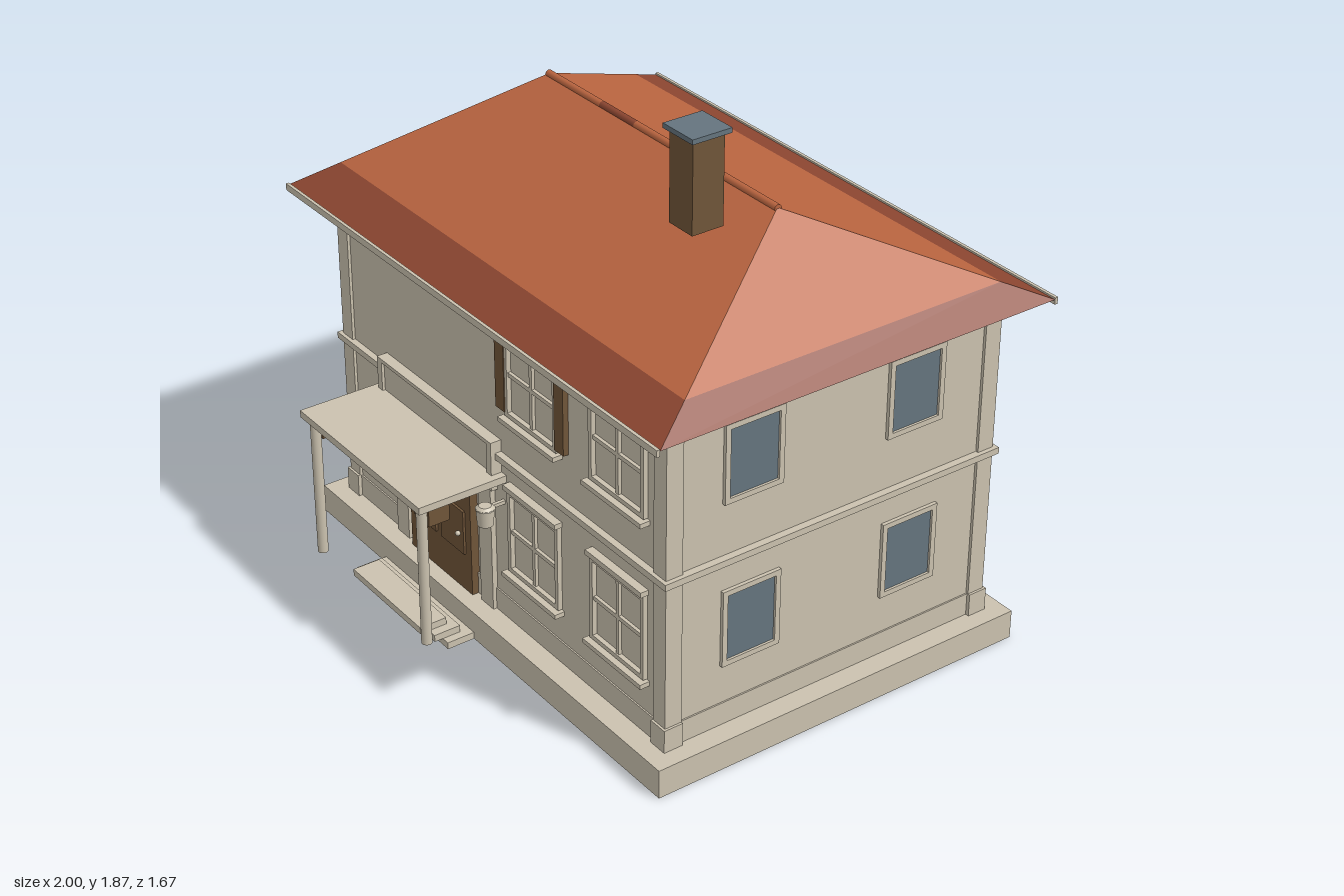
import * as THREE from 'three';

const mat = (name, color, side = THREE.FrontSide) => {
  const m = new THREE.MeshStandardMaterial({ color, side });
  m.name = name;
  return m;
};

export function createModel() {
  const house = new THREE.Group();
  house.name = 'house';
  const stucco = mat('stucco', 0xcbc2af);
  const wood = mat('brown wood', 0x705539);
  const slate = mat('slate blue', 0x65747e);
  const tile = mat('orange roof tile', 0xba6540, THREE.DoubleSide);
  const darkTile = mat('dark roof tile', 0x8c4631, THREE.DoubleSide);

  const add = (name, geo, material, parent = house) => {
    const mesh = new THREE.Mesh(geo, material);
    mesh.name = name;
    parent.add(mesh);
    return mesh;
  };
  // box given by its extents on each axis
  const box = (name, m, x0, x1, y0, y1, z0, z1, parent = house) => {
    const g = new THREE.BoxGeometry(x1 - x0, y1 - y0, z1 - z0);
    g.translate((x0 + x1) / 2, (y0 + y1) / 2, (z0 + z1) / 2);
    return add(name, g, m, parent);
  };
  const group = (name) => {
    const g = new THREE.Group();
    g.name = name;
    house.add(g);
    return g;
  };
  const ZC = -0.095; // centre line of the main building

  // Main body, centred on ZC: half width, half depth, bottom, top
  const ring = (name, hx, hz, y0, y1) => box(name, stucco, -hx, hx, y0, y1, ZC - hz, ZC + hz);
  ring('foundation', 0.957, 0.692, 0, 0.1);
  ring('walls', 0.88, 0.612, 0.1, 1.21);
  ring('skirting', 0.885, 0.617, 0.1, 0.178);
  ring('beltCourse', 0.905, 0.635, 0.68, 0.702);
  ring('cornice', 0.935, 0.665, 1.2, 1.229);
  for (const sx of [-1, 1]) for (const sz of [-1, 1]) {
    const post = (name, o, y0, y1) => {
      const x = sx * (0.86 + o / 2), z = ZC + sz * (0.592 + o / 2);
      const h = 0.03 + o / 2;
      box(name, stucco, x - h, x + h, y0, y1, z - h, z + h);
    };
    post('cornerPost', 0, 0.1, 1.2);
    post('cornerPlinth', 0.008, 0.1, 0.18);
  }

  // Hipped roof built from frustum rings between eaves and ridge
  const rect = (t) => {
    const hx = 1 - 0.42 * t, hz = 0.727 * (1 - t), y = 1.23 + 0.35 * t;
    return [[-hx, y, ZC + hz], [hx, y, ZC + hz], [hx, y, ZC - hz], [-hx, y, ZC - hz]];
  };
  const slopes = (t0, t1) => {
    const a = rect(t0), b = rect(t1), p = [];
    for (let i = 0; i < 4; i++) {
      const j = (i + 1) % 4;
      p.push(...a[i], ...a[j], ...b[j]);
      if (t1 < 1 || i % 2 === 0) p.push(...a[i], ...b[j], ...b[i]);
    }
    return p;
  };
  const faces = (p) => {
    const g = new THREE.BufferGeometry();
    g.setAttribute('position', new THREE.Float32BufferAttribute(p, 3));
    g.computeVertexNormals();
    return g;
  };
  add('roofSlopes', faces(slopes(0.2, 1)), tile);
  add('roofEaveBand', faces(slopes(0, 0.2)), darkTile);
  const [a, b, c, d] = rect(0);
  add('roofUnderside', faces([...a, ...c, ...b, ...a, ...d, ...c]), darkTile);
  const ridge = (name, m, x0, x1) => {
    const g = new THREE.CylinderGeometry(0.013, 0.013, x1 - x0, 12);
    g.rotateZ(Math.PI / 2).translate((x0 + x1) / 2, 1.578, ZC);
    add(name, g, m);
  };
  ridge('ridgeCapLeft', tile, -0.583, -0.29);
  ridge('ridgeCapDark', darkTile, -0.29, -0.11);
  ridge('ridgeCapRight', tile, -0.11, 0.583);
  box('frontFascia', stucco, -1, 1, 1.213, 1.236, 0.632, 0.643);
  box('backFascia', stucco, -1, 1, 1.213, 1.236, -0.833, -0.822);

  // Chimney
  box('chimney', wood, 0.43, 0.54, 1.553, 1.85, 0.07, 0.182);
  box('chimneyCap', slate, 0.416, 0.556, 1.85, 1.866, 0.056, 0.196);

  // Front windows with sill, lintel and glazing bars
  const F = 0.515;
  for (const x of [0.215, 0.653]) for (const y of [0.435, 0.997]) {
    const w = group('frontWindow');
    for (const s of [-1, 1]) {
      box('jamb', stucco, x + s * 0.128 - 0.008, x + s * 0.128 + 0.008, y - 0.135, y + 0.16, F, 0.533, w);
    }
    box('head', stucco, x - 0.136, x + 0.136, y + 0.142, y + 0.16, F, 0.533, w);
    box('lintel', stucco, x - 0.14, x + 0.14, y + 0.162, y + 0.18, F, 0.545, w);
    box('bottomRail', stucco, x - 0.136, x + 0.136, y - 0.137, y - 0.122, F, 0.533, w);
    box('sill', stucco, x - 0.147, x + 0.147, y - 0.156, y - 0.14, F, 0.552, w);
    box('mullion', stucco, x - 0.007, x + 0.007, y - 0.13, y + 0.15, F, 0.528, w);
    box('glazingBar', stucco, x - 0.125, x + 0.125, y + 0.003, y + 0.017, F, 0.528, w);
  }
  box('shutter', wood, 0.035, 0.083, 0.873, 1.149, F, 0.536);
  box('shutter', wood, 0.347, 0.395, 0.873, 1.149, F, 0.536);

  // Side windows, mirrored on both ends of the house
  for (const s of [-1, 1]) for (const z of [0.213, -0.393]) for (const y of [0.447, 1.013]) {
    const w = group('sideWindow');
    const plate = (name, m, y0, y1, z0, z1, out) =>
      box(name, m, Math.min(s * 0.875, s * out), Math.max(s * 0.875, s * out), y0, y1, z0, z1, w);
    plate('glass', slate, y - 0.116, y + 0.116, z - 0.09, z + 0.09, 0.884);
    for (const e of [-1, 1]) {
      plate('jamb', stucco, y - 0.133, y + 0.133, z + e * 0.098 - 0.009, z + e * 0.098 + 0.009, 0.892);
      plate('rail', stucco, y + e * 0.124 - 0.009, y + e * 0.124 + 0.009, z - 0.09, z + 0.09, 0.892);
    }
  }

  // Front door with raised panels and knob
  const DX = -0.296;
  box('door', wood, DX - 0.18, DX + 0.18, 0.1, 0.552, F, 0.545);
  for (const s of [-1, 1]) {
    const x = DX + s * 0.083;
    box('doorPanel', wood, x - 0.066, x + 0.066, 0.24, 0.4, 0.54, 0.553);
    const p = DX + s * 0.25;
    box('doorPilaster', stucco, p - 0.035, p + 0.035, 0.1, 0.55, F, 0.535);
  }
  box('doorLintel', stucco, -0.6, 0.005, 0.552, 0.6, F, 0.54);
  add('doorKnob', new THREE.SphereGeometry(0.009, 12, 8), stucco).position.set(-0.17, 0.312, 0.559);

  // Porch canopy, parapet, columns, brackets and lanterns
  box('canopy', stucco, -0.652, 0.056, 0.602, 0.627, F, 0.833);
  box('parapet', stucco, -0.63, 0.03, 0.627, 0.73, F, 0.545);
  box('parapetCap', stucco, -0.63, 0.03, 0.73, 0.743, F, 0.555);
  for (const s of [-1, 1]) {
    box('parapetEnd', stucco, DX - 0.004 + s * 0.317 - 0.013, DX - 0.004 + s * 0.317 + 0.013, 0.627, 0.73, F, 0.555);
    const x = -0.298 + s * 0.316;
    add('porchColumn', new THREE.CylinderGeometry(0.0175, 0.0175, 0.5, 20), stucco).position.set(x, 0.352, 0.802);
    box('canopyBracket', wood, x - 0.016, x + 0.016, 0.53, 0.602, 0.712, 0.786);
    const lantern = group('lantern');
    lantern.position.set(-0.298 + s * 0.339, 0.5, 0.588);
    add('lanternBody', new THREE.CylinderGeometry(0.03, 0.026, 0.06, 16), stucco, lantern);
    add('lanternCap', new THREE.CylinderGeometry(0.02, 0.032, 0.01, 16), stucco, lantern).position.y = 0.033;
    box('lanternArm', stucco, -0.006, 0.006, 0.02, 0.032, -0.075, 0, lantern);
  }

  // Entrance steps
  [[0.265, 0.597, 0.695], [0.236, 0.63, 0.725], [0.203, 0.66, 0.757]].forEach(([h, z0, z1], i) => {
    box('step', stucco, -0.298 - h, -0.298 + h, i * 0.024, i * 0.024 + 0.024, z0, z1);
  });

  return house;
}
